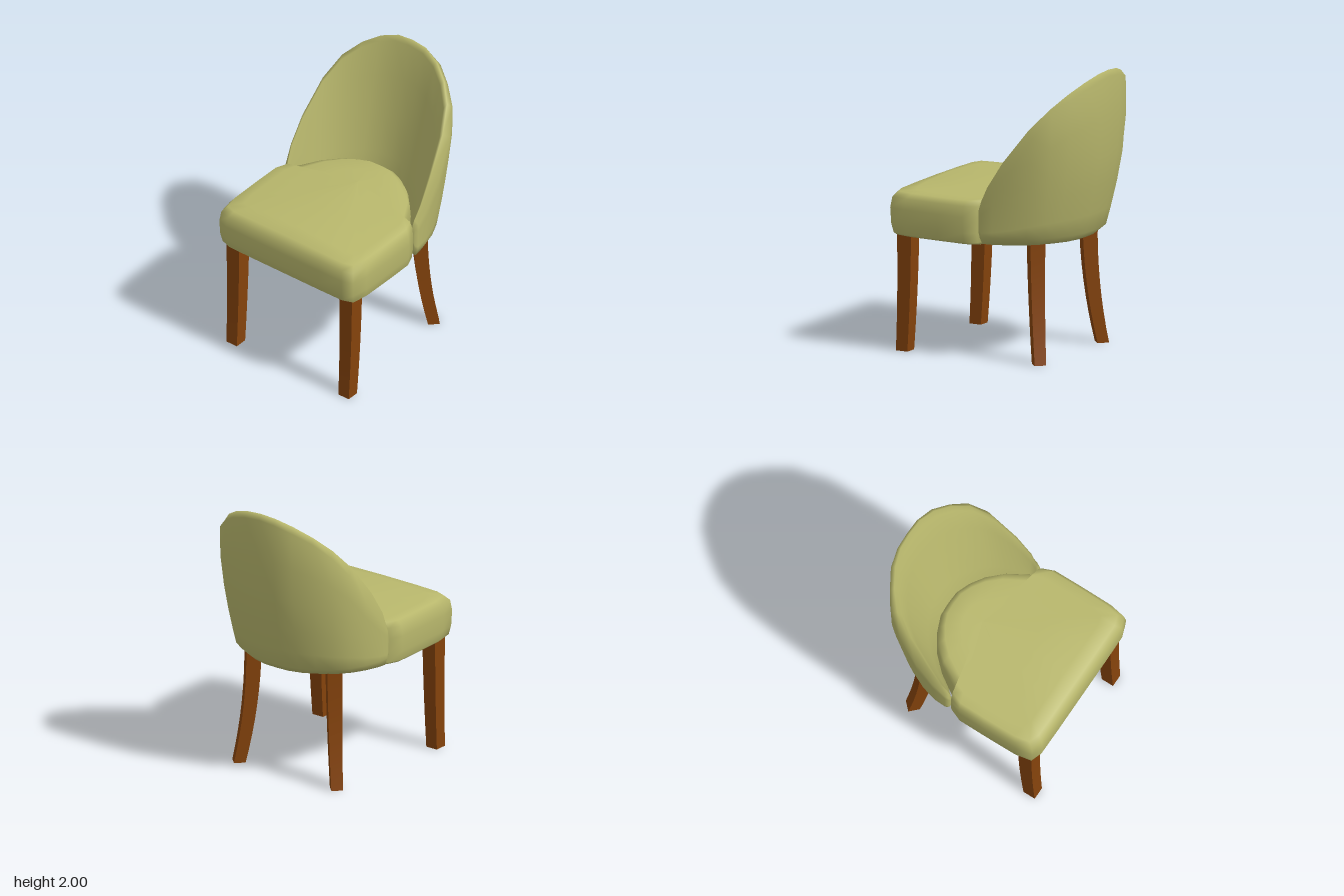
import * as THREE from 'three';

// Skin a list of closed rings (arrays of [x, y, z]) with smooth normals.
function loft(rings) {
  const n = rings[0].length, index = [];
  for (let i = 0; i < rings.length - 1; i++) {
    for (let j = 0; j < n; j++) {
      const k = (j + 1) % n;
      const a = i * n + j, b = i * n + k, c = b + n, d = a + n;
      index.push(a, b, c, a, c, d);
    }
  }
  const g = new THREE.BufferGeometry();
  g.setAttribute('position', new THREE.Float32BufferAttribute(rings.flat(2), 3));
  g.setIndex(index);
  g.computeVertexNormals();
  return g;
}

const lerp = THREE.MathUtils.lerp;

// Cushion: a plan outline stacked in layers, with a domed top.
function seatGeometry() {
  const half = [[0, .71], [.3, .71], [.5, .708], [.58, .68], [.602, .56], [.604, .3], [.602, .1],
    [.565, .01], [.5, 0], [.4, -.17], [.3, -.275], [.2, -.34], [.1, -.38], [0, -.385]];
  const outline = [...half, ...half.slice(1, -1).reverse().map(([x, z]) => [-x, z])];
  // [height, scale, dome]
  const layers = [[.81, 0, 0], [.81, .95, 0], [.825, .975, 0], [.89, .993, 0], [1, 1, 0],
    [1.075, .985, 0], [1.11, .94, .01], [1.1, .82, .05], [1.1, .45, .05], [1.1, 0, .05]];
  const cz = -.1;
  return loft(layers.map(([y, s, dome]) => outline.map(([x, z]) =>
    [x * s, y + dome * (1 - (x * s / .6) ** 2), cz + (z - cz) * s])));
}

// Wrap-around backrest: vertical cross-sections swept from one arm tip to the other.
function backGeometry() {
  // [outer x, outer z, inner foot x, inner foot z, rim x, rim height, rim z]
  const half = [
    [0, -.713, 0, -.383, 0, 2, -.69],
    [.12, -.711, .09, -.375, .12, 1.99, -.685],
    [.25, -.68, .185, -.34, .24, 1.95, -.65],
    [.37, -.61, .275, -.28, .355, 1.88, -.585],
    [.475, -.53, .345, -.215, .455, 1.78, -.495],
    [.545, -.415, .405, -.145, .52, 1.63, -.365],
    [.58, -.28, .452, -.08, .556, 1.4, -.19],
    [.59, -.14, .485, -.045, .563, 1.22, -.075],
    [.578, -.04, .505, -.025, .55, 1.12, -.022],
  ];
  const section = ([ox, oz, ix, iz, tx, h, tz]) => {
    // The outside tapers towards the floor, most of all behind
    const outer = (t) => {
      const y = lerp(.875, h - .04, t);
      const pinch = .2 * (Math.max(0, 1.6 - y) / .75) ** 1.5;
      return [ox * (1 + 1.3 * oz * pinch), y, oz * (1 - pinch)];
    };
    const inner = (t) => [lerp(ix, tx, .93 * t), lerp(.88, h, t), lerp(iz, tz, .93 * t)];
    const low = outer(0);
    return [
      [lerp(ix, low[0], .12), .83, lerp(iz, low[2], .12)],
      [lerp(ix, low[0], .7), .822, lerp(iz, low[2], .7)],
      ...[0, .12, .3, .5, .75, 1].map(outer),
      [tx, h, tz],
      ...[.97, .75, .5, .25, 0].map(inner),
    ];
  };
  const right = half.map(section);
  // Rounded arm tip: shrink the last section, then close it
  const tip = right[right.length - 1];
  const shrink = (s, z) => tip.map(([x, y]) => [lerp(.54, x, s), lerp(.97, y, s), z]);
  right.push(shrink(.75, -.008), shrink(0, -.003));
  const left = right.slice(1).reverse().map(r => r.map(([x, y, z]) => [-x, y, z]));
  return loft([...left, ...right]);
}

// Square leg, tapered and curved from its top centre to its foot.
function legGeometry({ height, top, foot, topWidth, footWidth, turn }) {
  const g = new THREE.BoxGeometry(1, 1, 1, 1, 8, 1);
  g.rotateY(turn);
  const p = g.attributes.position;
  for (let i = 0; i < p.count; i++) {
    const t = p.getY(i) + .5;
    const bend = (1 - t) ** 2;
    const w = lerp(footWidth, topWidth, t);
    p.setXYZ(i, p.getX(i) * w + lerp(top[0], foot[0], bend), t * height,
      p.getZ(i) * w + lerp(top[1], foot[1], bend));
  }
  g.computeVertexNormals();
  return g;
}

export function createModel() {
  const fabric = new THREE.MeshStandardMaterial({ color: 0xb8b76c });
  fabric.name = 'olive fabric';
  const wood = new THREE.MeshStandardMaterial({ color: 0x85430c });
  wood.name = 'brown wood';

  const model = new THREE.Group();
  model.name = 'chair';
  const add = (name, geometry, material) => {
    const mesh = new THREE.Mesh(geometry, material);
    mesh.name = name;
    model.add(mesh);
  };

  add('seat', seatGeometry(), fabric);
  add('backrest', backGeometry(), fabric);

  // Legs, mirrored left and right
  for (const [side, s] of [['Left', 1], ['Right', -1]]) {
    add('front' + side + 'Leg', legGeometry({
      height: .82, top: [s * .489, .593], foot: [s * .485, .62],
      topWidth: .11, footWidth: .09, turn: 0,
    }), wood);
    add('back' + side + 'Leg', legGeometry({
      height: .845, top: [s * .345, -.33], foot: [s * .415, -.395],
      topWidth: .105, footWidth: .08, turn: Math.PI / 4,
    }), wood);
  }
  return model;
}
